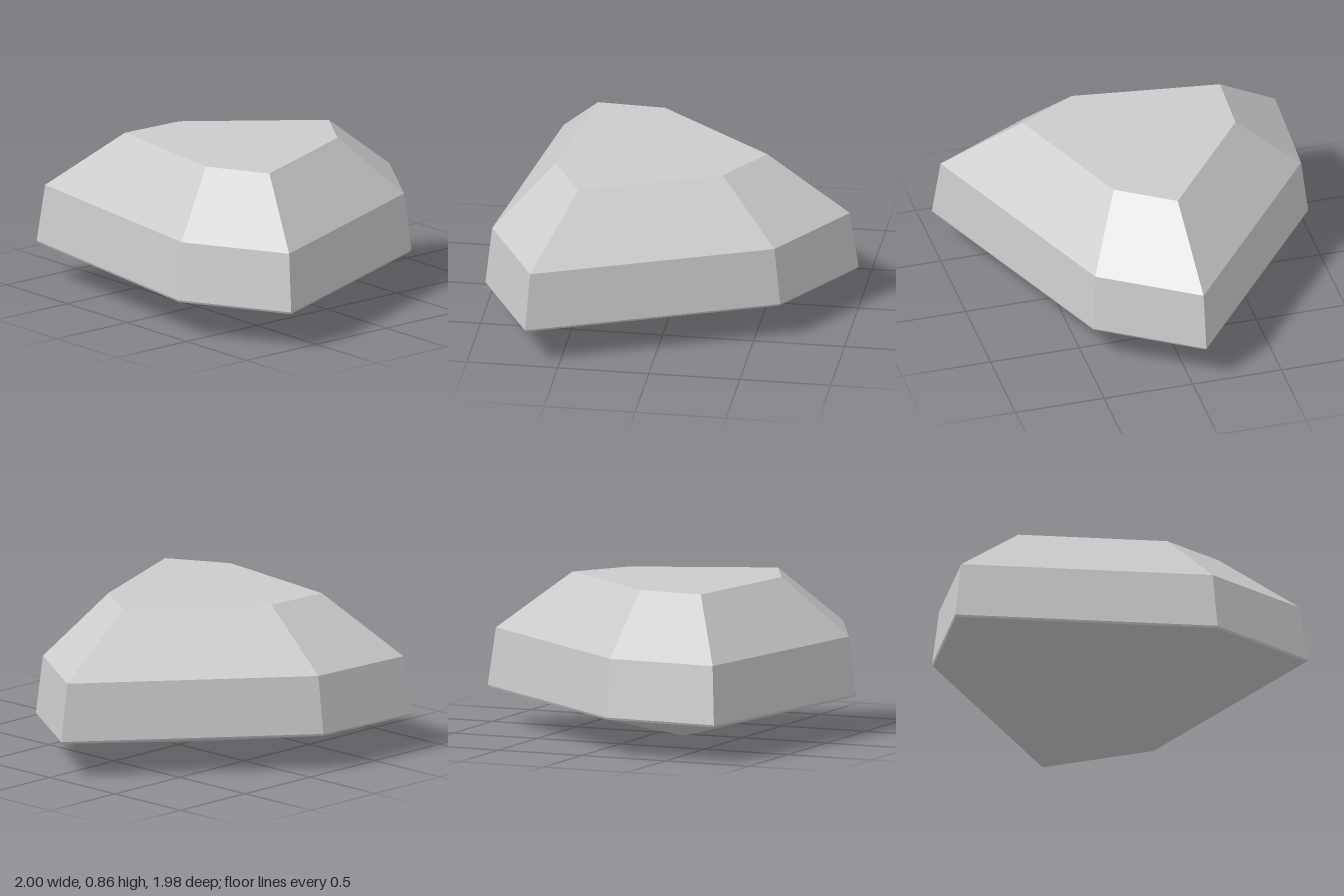
import * as THREE from 'three';

// Girdle outline of the stone (x, z), running back, left, front, right
const OUTLINE = [[-0.08, -0.99], [0.46, -0.64], [1, 0.68], [0.42, 0.985], [-1, 0.79], [-0.97, 0.135]];
const CENTRE = [-0.03, 0.16];

// Cross-sections from the base up: height and scale of the outline about the centre
const LEVELS = [[0, 0.03], [0.2, 0.993], [0.212, 1], [0.53, 0.958], [0.86, 0.567]];

function stoneGeometry() {
  const rings = LEVELS.map(([y, s]) => OUTLINE.map(([x, z]) => [
    CENTRE[0] + (x - CENTRE[0]) * s, y, CENTRE[1] + (z - CENTRE[1]) * s,
  ]));
  const positions = [];
  const tri = (...corners) => corners.forEach((p) => positions.push(...p));
  const n = OUTLINE.length;

  // Side facets between neighbouring cross-sections
  for (let k = 0; k < rings.length - 1; k++) {
    for (let i = 0; i < n; i++) {
      const j = (i + 1) % n;
      const [a, b, c, d] = [rings[k][i], rings[k][j], rings[k + 1][i], rings[k + 1][j]];
      tri(b, a, c);
      tri(b, c, d);
    }
  }

  // Flat top and tiny flat base
  const base = rings[0];
  const top = rings[rings.length - 1];
  for (let i = 1; i < n - 1; i++) {
    tri(top[0], top[i + 1], top[i]);
    tri(base[0], base[i], base[i + 1]);
  }

  const geometry = new THREE.BufferGeometry();
  geometry.setAttribute('position', new THREE.Float32BufferAttribute(positions, 3));
  geometry.computeVertexNormals();
  return geometry;
}

export function createModel() {
  const group = new THREE.Group();
  group.name = 'rock';
  const stone = new THREE.Mesh(
    stoneGeometry(),
    new THREE.MeshStandardMaterial({ color: 0xcccccc, flatShading: true }),
  );
  stone.name = 'stone';
  group.add(stone);
  return group;
}
